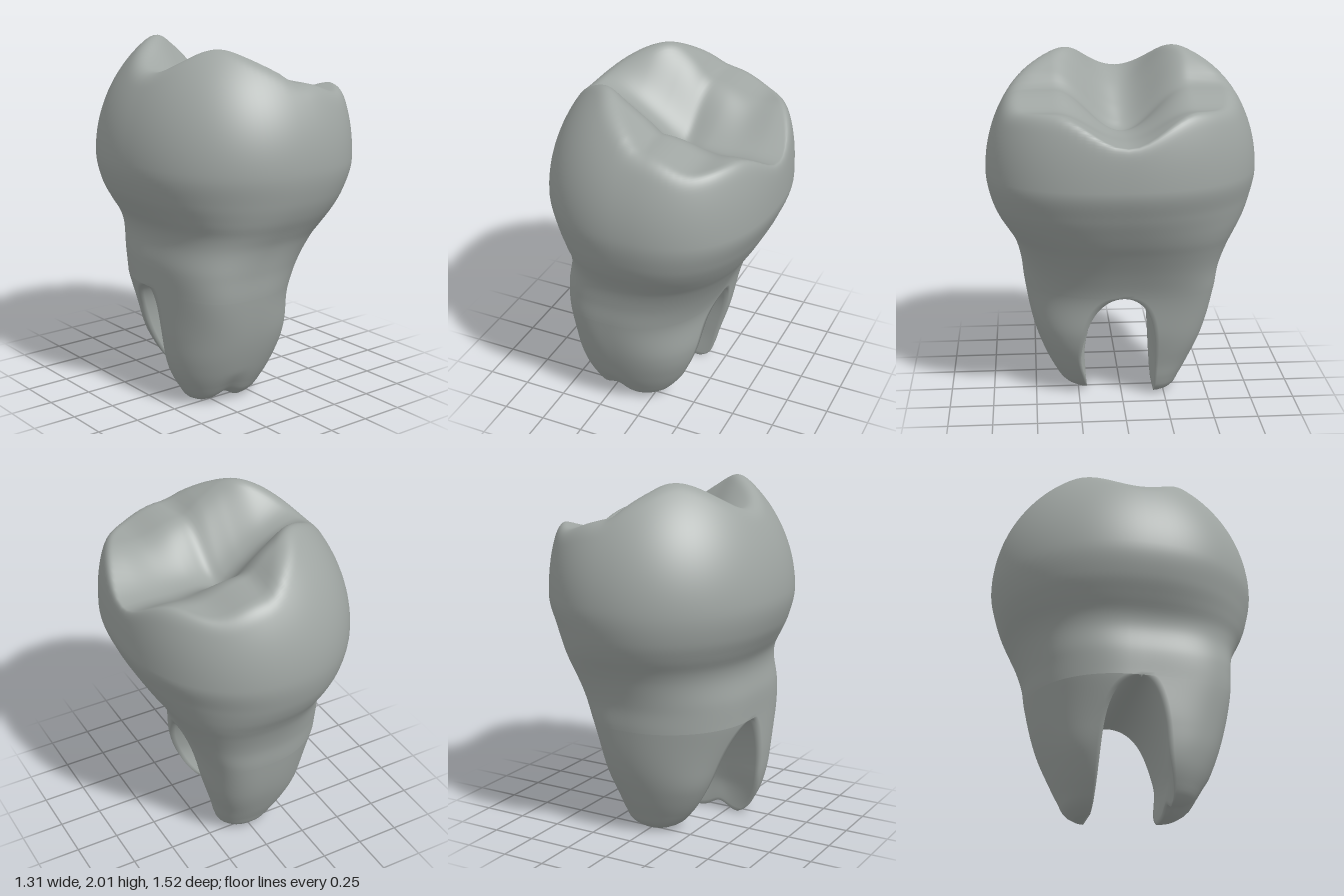
import * as THREE from 'three';
import { mergeGeometries, mergeVertices } from 'three/addons/utils/BufferGeometryUtils.js';

const { smoothstep, clamp } = THREE.MathUtils;
const ARCH = 0.66;   // height where the two roots part
const WAIST = 1.37;  // widest height of the crown
const HALF = 48;     // segments in half an outline
const INNER = 24;    // segments across the inner wall of a root

// smooth lookup through rows of [position, ...values]
function table(rows) {
  const curve = new THREE.CubicInterpolant(
    rows.map((r) => r[0]), rows.flatMap((r) => r.slice(1)), rows[0].length - 1);
  return (t) => Array.from(curve.evaluate(t));
}

// size by height: [y, min x, max x, reach in z]
// form by height: [y, roundness (1 is an ellipse), sideways lean]
const front = {
  side: 1, hollow: 0.1, tilt: 0.25,
  gap: (t) => 0.2 * Math.sqrt(Math.max(0, 1 - t ** 3)),
  size: table([
    [0, -0.32, 0.01, 0.3], [0.03, -0.37, 0.06, 0.345], [0.1, -0.42, 0.125, 0.39],
    [0.2, -0.465, 0.19, 0.44], [0.4, -0.495, 0.27, 0.51], [ARCH, -0.5, 0.315, 0.56],
    [0.8, -0.505, 0.375, 0.575], [0.95, -0.495, 0.46, 0.61], [1.02, -0.512, 0.505, 0.645],
    [1.1, -0.56, 0.55, 0.69], [1.2, -0.615, 0.6, 0.73], [WAIST, -0.655, 0.655, 0.76],
    [1.54, -0.615, 0.6, 0.73],
  ]),
  form: table([
    [0, 0.95, 0], [0.4, 0.8, -0.04], [ARCH, 0.75, -0.08], [0.95, 0.78, -0.05],
    [1.2, 0.86, 0.04], [WAIST, 0.87, 0.05], [1.54, 0.87, 0.05],
  ]),
};
const back = {
  side: -1, hollow: 0.08, tilt: 0,
  gap: (t) => 0.19 * Math.sqrt(Math.max(0, 1 - t ** 5)),
  size: table([
    [0, -0.09, 0.1, 0.265], [0.03, -0.15, 0.15, 0.31], [0.1, -0.22, 0.185, 0.35],
    [0.2, -0.29, 0.21, 0.4], [0.4, -0.39, 0.265, 0.48], [ARCH, -0.5, 0.315, 0.54],
    [0.8, -0.505, 0.375, 0.56], [0.95, -0.495, 0.46, 0.61], [1.02, -0.512, 0.505, 0.645],
    [1.1, -0.56, 0.55, 0.69], [1.2, -0.615, 0.6, 0.73], [WAIST, -0.655, 0.655, 0.76],
    [1.54, -0.615, 0.6, 0.73],
  ]),
  form: table([
    [0, 0.98, 0], [0.4, 0.86, 0.08], [ARCH, 0.79, 0.12], [0.95, 0.82, 0.07],
    [1.2, 0.93, 0.02], [WAIST, 0.95, 0.02], [1.54, 0.95, 0.02],
  ]),
};

// chewing surface by x: [x, crest height, valley height]
const chewing = table([
  [-0.66, 1.92, 1.86], [-0.4, 2.04, 1.85], [-0.25, 2.055, 1.79], [-0.1, 1.96, 1.69],
  [0, 1.89, 1.62], [0.1, 1.83, 1.59], [0.2, 1.8, 1.6], [0.35, 1.75, 1.6],
  [0.5, 1.76, 1.605], [0.66, 1.75, 1.6],
]);

// half of the outline at height y; below the arch its inner side is cut off at the gap
function halfOutline(half, y) {
  const inRoot = y < ARCH;
  const [min, max] = (inRoot ? half : front).size(y);
  const reach = half.size(y)[2];
  const [round, lean] = half.form(y);
  const gap = inRoot ? half.gap(y / ARCH) : 0;
  const tilt = half.tilt * smoothstep(y, 0, 0.3);
  const base = gap * (1 - tilt) * smoothstep(1 - y / ARCH, 0, 0.6);
  const cut = (g) => Math.asin(((g - base) / (reach - base)) ** (1 / round));
  const from = cut(gap * (1 + tilt)), to = Math.PI - cut(gap * (1 - tilt));
  const points = [];
  for (let i = 0; i <= HALF; i++) {
    const a = from + ((to - from) * i) / HALF;
    const sin = Math.abs(Math.sin(a)) ** round;
    const cos = Math.sign(Math.cos(a)) * Math.abs(Math.cos(a)) ** round;
    const x = (min + max) / 2 + (half.side * cos * (max - min)) / 2 + lean * sin * sin;
    points.push(new THREE.Vector3(x, y, half.side * (base + (reach - base) * sin)));
  }
  return points;
}

const fullOutline = (y) =>
  [...halfOutline(front, y).slice(0, -1), ...halfOutline(back, y).slice(0, -1)];

// closed rings, listed from bottom to top, joined into a skin
function loft(rings) {
  const n = rings[0].length;
  const index = [];
  for (let j = 0; j < rings.length - 1; j++) {
    for (let i = 0; i < n; i++) {
      const a = j * n + i, c = j * n + ((i + 1) % n);
      index.push(a, a + n, c, a + n, c + n, c);
    }
  }
  const geometry = new THREE.BufferGeometry().setFromPoints(rings.flat());
  geometry.setIndex(index);
  return geometry;
}

function smoothMin(a, b, k) {
  const h = Math.max(k - Math.abs(a - b), 0) / k;
  return Math.min(a, b) - (h * h * k) / 4;
}

// crown: side wall up to the waist, then a dome cut by the cusps and grooves
function crown() {
  const rings = [];
  for (let j = 0; j <= 36; j++) {
    rings.push(fullOutline(j === 36 ? WAIST : ARCH + ((WAIST - ARCH) * j) / 36));
  }
  const rim = fullOutline(WAIST);
  for (let j = 1; j <= 64; j++) {
    const s = Math.cos((Math.PI / 2) * (j / 64));
    rings.push(rim.map((p) => {
      const x = p.x * s, z = p.z * s;
      const c = p.x / 0.655;
      const power = 1.97 + 0.1 * c + 0.35 * Math.max(c, 0) ** 2;
      const dome = WAIST + 0.785 * Math.pow(1 - Math.pow(s, power), 1 / power);
      // the front tall cusp sits a little further out than the back one
      const skew = 0.1 * clamp(z, -0.35, 0.35) * smoothstep(-x, -0.2, 0.2);
      const [crest, valley] = chewing(x + skew);
      const rise = 0.5 - 0.5 * Math.cos(Math.PI * Math.min(Math.abs(z) / 0.38, 1));
      const groove = 0.02 * Math.exp(-(((x - 0.06) / 0.05) ** 2));
      const top = valley + (crest - valley) * rise - groove;
      return new THREE.Vector3(x, smoothMin(dome, top, 0.08), z);
    }));
  }
  return loft(rings);
}

// root: D-shaped rings with a hollowed inner wall and a closed tip
function root(half) {
  const rings = [];
  for (let j = 0; j <= 44; j++) {
    const y = ARCH * Math.sin((Math.PI / 2) * (j / 44));
    const ring = halfOutline(half, y);
    const start = ring[0], end = ring[HALF];
    const depth = half.hollow * half.gap(y / ARCH) * smoothstep(y, 0, 0.2);
    for (let i = 1; i < INNER; i++) {
      const u = i / INNER;
      const p = end.clone().lerp(start, u);
      p.z += half.side * depth * 4 * u * (1 - u);
      ring.push(p);
    }
    rings.push(ring);
  }
  // rings shrinking to the middle of the tip
  const tip = rings[0];
  const middle = tip.reduce((m, p) => m.add(p), new THREE.Vector3()).divideScalar(tip.length);
  for (const s of [0.66, 0.33, 0]) {
    rings.unshift(tip.map((p) => middle.clone().lerp(p, s)));
  }
  // notch splitting the front tip into two lobes
  if (half === front) {
    for (const p of rings.flat()) {
      p.y += 0.05 * Math.exp(-(((p.x + 0.2) / 0.07) ** 2)) * Math.max(0, 1 - p.y / 0.2);
    }
  }
  return loft(rings);
}

export function createModel() {
  const enamel = new THREE.MeshStandardMaterial({ color: 0xa0a6a3 });
  enamel.name = 'greyEnamel';

  // one continuous skin, so the roots flow smoothly into the crown
  const skin = mergeVertices(mergeGeometries([crown(), root(front), root(back)]), 1e-4);
  skin.computeVertexNormals();

  const tooth = new THREE.Mesh(skin, enamel);
  tooth.name = 'crownAndRoots';
  const group = new THREE.Group();
  group.name = 'molarTooth';
  group.add(tooth);
  return group;
}
